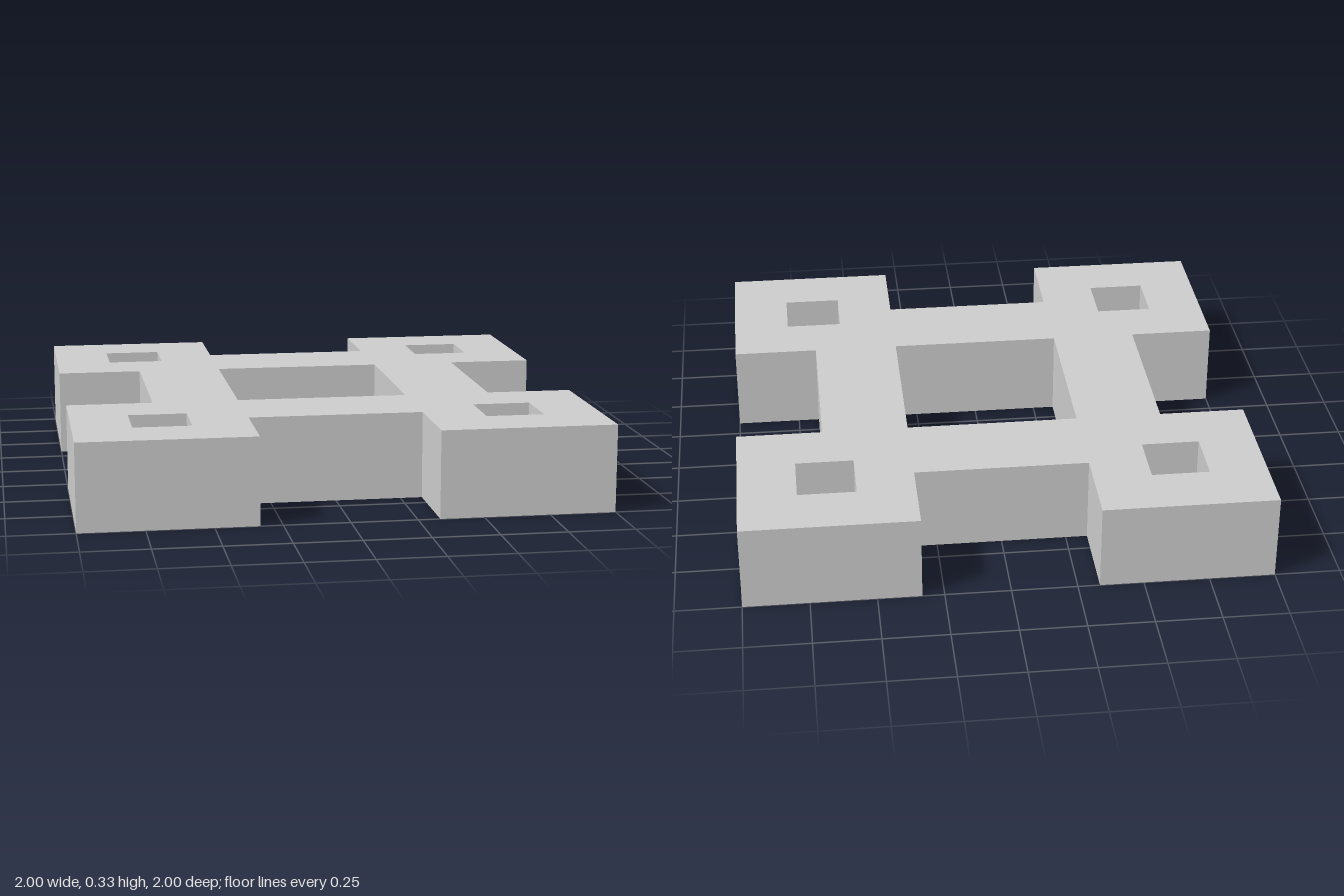
import * as THREE from 'three';

const T = 1 / 3; // grid unit: blocks are 2T wide, bars and plate are T thick

// Square hole centred on (x, y) with half-width r
function squareHole(x, y, r) {
  return new THREE.Path([[-r, -r], [-r, r], [r, r], [r, -r]]
    .map(([dx, dy]) => new THREE.Vector2(x + dx, y + dy)));
}

export function createModel() {
  const group = new THREE.Group();
  group.name = 'squareFrame';

  // Outline: one corner block, repeated by quarter turns
  const corner = [[2 * T, T], [1, T], [1, 1], [T, 1], [T, 2 * T]];
  const outline = [];
  for (let q = 0; q < 4; q++) {
    for (const [x, y] of corner) {
      outline.push(new THREE.Vector2(x, y).rotateAround(new THREE.Vector2(), q * Math.PI / 2));
    }
  }
  const shape = new THREE.Shape(outline);

  // Central opening and one small hole through each corner block
  shape.holes.push(squareHole(0, 0, T));
  for (const sx of [-1, 1]) {
    for (const sy of [-1, 1]) shape.holes.push(squareHole(sx * 2 * T, sy * 2 * T, T / 3));
  }

  // Flat plate, laid down on the ground plane
  const geometry = new THREE.ExtrudeGeometry(shape, { depth: T, bevelEnabled: false });
  geometry.rotateX(-Math.PI / 2);
  const plate = new THREE.Mesh(
    geometry,
    new THREE.MeshStandardMaterial({ color: 0xcccccc, flatShading: true })
  );
  plate.name = 'framePlate';
  group.add(plate);
  return group;
}
